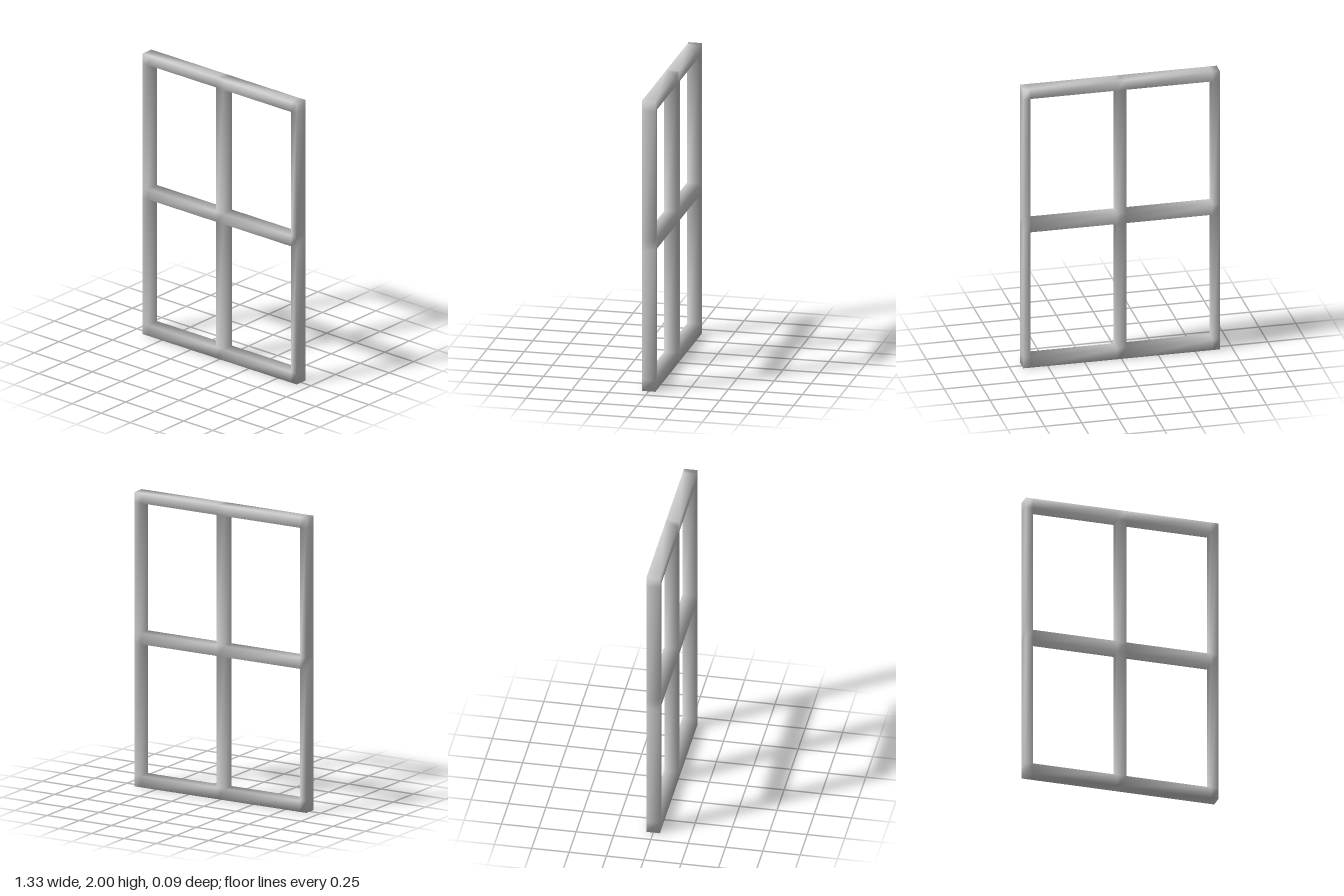
import * as THREE from 'three';

// Grid lines: even-numbered strips are bars, odd-numbered strips are openings
const XS = [-0.665, -0.615, -0.032, 0.032, 0.615, 0.665];
const YS = [0, 0.077, 0.972, 1.047, 1.93, 2];
const HALF_DEPTH = 0.045;

// One welded lattice, so that the normals blend softly across all edges
function latticeGeometry(xs, ys, h) {
  const nx = xs.length, ny = ys.length;
  const positions = [], index = [];
  for (const z of [-h, h])
    for (const y of ys)
      for (const x of xs) positions.push(x, y, z);

  const v = (i, j, k) => k * nx * ny + j * nx + i;
  const quad = (a, b, c, d) => index.push(a, b, c, a, c, d);
  const solid = (i, j) =>
    i >= 0 && j >= 0 && i < nx - 1 && j < ny - 1 && (i % 2 === 0 || j % 2 === 0);

  for (let j = 0; j < ny - 1; j++) {
    for (let i = 0; i < nx - 1; i++) {
      if (!solid(i, j)) continue;
      const I = i + 1, J = j + 1;
      // Front and back
      quad(v(i, j, 1), v(I, j, 1), v(I, J, 1), v(i, J, 1));
      quad(v(I, j, 0), v(i, j, 0), v(i, J, 0), v(I, J, 0));
      // Side walls wherever the neighbouring cell is open
      if (!solid(i - 1, j)) quad(v(i, j, 0), v(i, j, 1), v(i, J, 1), v(i, J, 0));
      if (!solid(I, j)) quad(v(I, j, 1), v(I, j, 0), v(I, J, 0), v(I, J, 1));
      if (!solid(i, j - 1)) quad(v(i, j, 0), v(I, j, 0), v(I, j, 1), v(i, j, 1));
      if (!solid(i, J)) quad(v(i, J, 1), v(I, J, 1), v(I, J, 0), v(i, J, 0));
    }
  }

  const geometry = new THREE.BufferGeometry();
  geometry.setAttribute('position', new THREE.Float32BufferAttribute(positions, 3));
  geometry.setIndex(index);
  geometry.computeVertexNormals();
  return geometry;
}

export function createModel() {
  const group = new THREE.Group();
  group.name = 'window';

  // Outer frame, middle rail and mullion in one piece
  const frame = new THREE.Mesh(
    latticeGeometry(XS, YS, HALF_DEPTH),
    new THREE.MeshStandardMaterial({ color: 0xcccccc })
  );
  frame.name = 'windowFrame';
  group.add(frame);
  return group;
}
